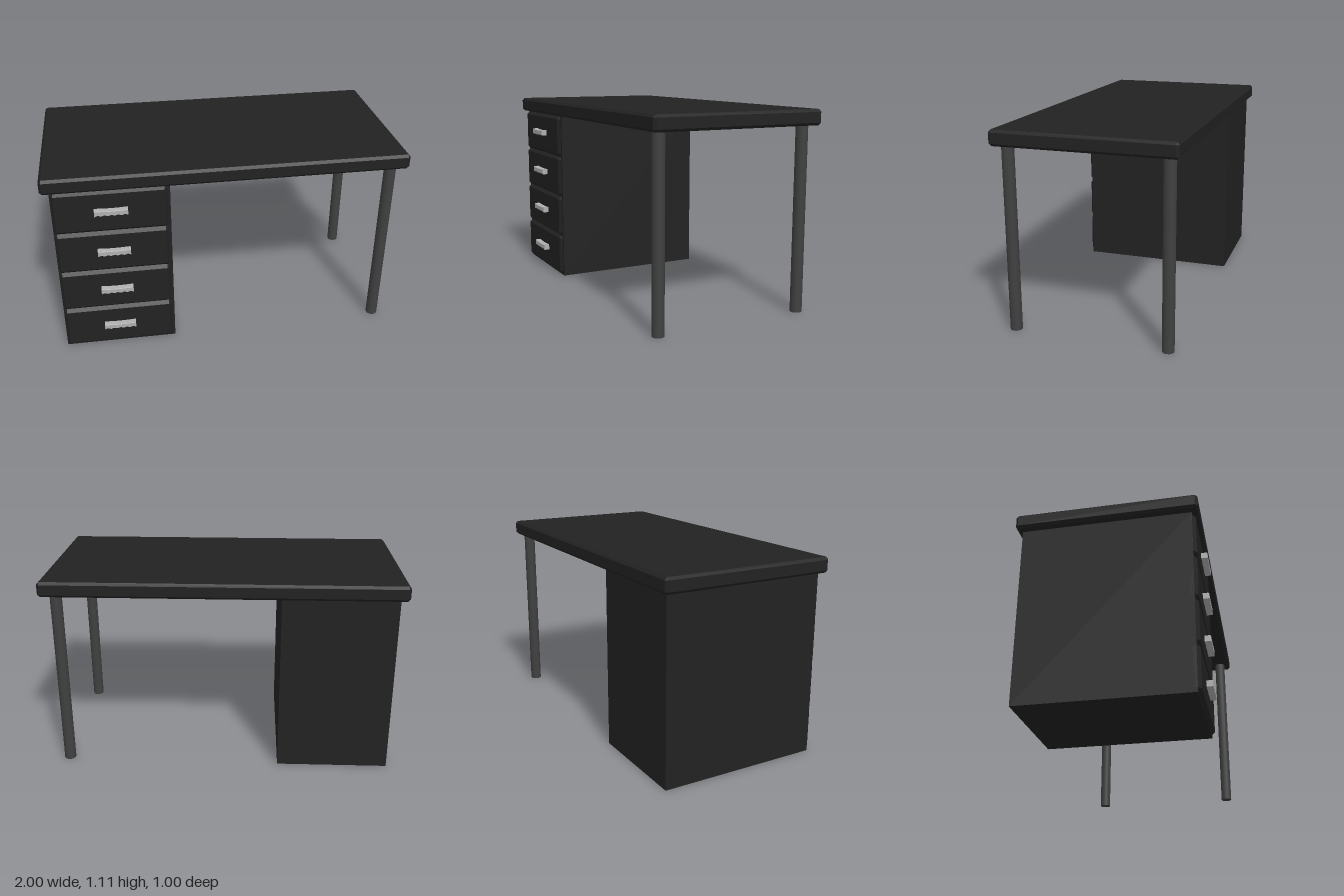
import * as THREE from 'three';
import { ConvexGeometry } from 'three/addons/geometries/ConvexGeometry.js';

const black = new THREE.MeshStandardMaterial({ name: 'black lacquer', color: 0x222222 });
const grey = new THREE.MeshStandardMaterial({ name: 'dark grey metal', color: 0x404040 });
const silver = new THREE.MeshStandardMaterial({ name: 'silver metal', color: 0xb0b0b0 });

// Box between two corners with every edge cut off by c
function chamferBox([x0, y0, z0], [x1, y1, z1], c) {
  const points = [];
  for (const [x, sx] of [[x0, 1], [x1, -1]])
    for (const [y, sy] of [[y0, 1], [y1, -1]])
      for (const [z, sz] of [[z0, 1], [z1, -1]])
        points.push(
          new THREE.Vector3(x, y + sy * c, z + sz * c),
          new THREE.Vector3(x + sx * c, y, z + sz * c),
          new THREE.Vector3(x + sx * c, y + sy * c, z));
  return new ConvexGeometry(points);
}

// Bar handle with finger grips along the underside
function handleGeometry() {
  const w = 0.09, shape = new THREE.Shape();
  shape.moveTo(-w, 0.017);
  shape.lineTo(-w, -0.016);
  const steps = 32;
  for (let i = 0; i <= steps; i++) {
    const t = i / steps;
    shape.lineTo(-w + 2 * w * t, -0.014 - 0.003 * Math.cos(t * 10 * Math.PI));
  }
  shape.lineTo(w, 0.017);
  shape.quadraticCurveTo(0, 0.01, -w, 0.017);
  return new THREE.ExtrudeGeometry(shape, {
    depth: 0.045, curveSegments: 8,
    bevelEnabled: true, bevelSize: 0.002, bevelThickness: 0.003, bevelOffset: -0.002, bevelSegments: 1,
  });
}

export function createModel() {
  const desk = new THREE.Group();
  desk.name = 'desk';
  const add = (name, geometry, material, x = 0, y = 0, z = 0) => {
    const mesh = new THREE.Mesh(geometry, material);
    mesh.name = name;
    mesh.position.set(x, y, z);
    desk.add(mesh);
  };

  add('tabletop', chamferBox([-1, 1.025, -0.5], [1, 1.11, 0.488], 0.014), black);

  // Drawer cabinet
  add('cabinet', new THREE.BoxGeometry(0.635, 1.025, 0.923), black, -0.6375, 0.5125, -0.0085);

  // Stacked drawers with handles
  const pitch = 0.2535, handle = handleGeometry();
  for (let i = 0; i < 4; i++) {
    const y = 0.006 + i * pitch;
    add('drawerFront' + (i + 1), chamferBox([-0.955, y, 0.415], [-0.333, y + pitch, 0.471], 0.018), black);
    add('drawerHandle' + (i + 1), handle, silver, -0.64, 0.141 + i * pitch, 0.457);
  }

  // Legs at the open end
  const leg = new THREE.CylinderGeometry(0.033, 0.033, 1.03, 16);
  add('frontLeg', leg, grey, 0.913, 0.515, 0.421);
  add('backLeg', leg, grey, 0.913, 0.515, -0.435);

  return desk;
}
